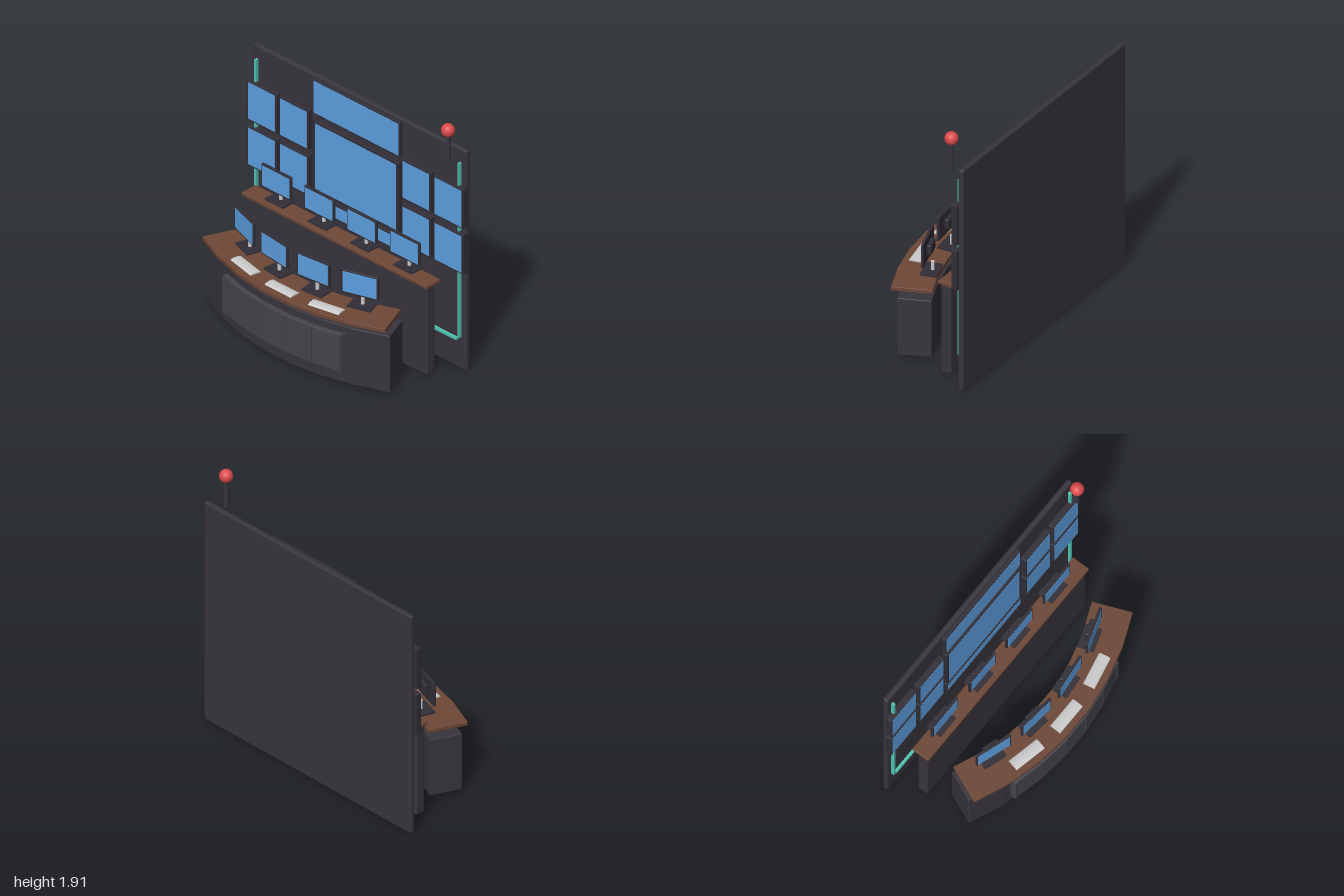
import * as THREE from 'three';
import { RoundedBoxGeometry } from 'three/addons/geometries/RoundedBoxGeometry.js';

const paint = (color) => new THREE.MeshStandardMaterial({ color });
const dark = paint(0x38343d);
const frameMat = paint(0x322e37);
const panelMat = paint(0x46444b);
const wood = paint(0x6d4736);
const blue = paint(0x5c9fe0);
const teal = paint(0x4fc4b0);
const red = paint(0xdc4a4a);
const grey = paint(0xcccccc);

// Common centre of the curved desk
const ARC_Z = -1.46;
const STEP = THREE.MathUtils.degToRad(7.6);

function add(parent, name, geometry, material, x, y, z) {
  const mesh = new THREE.Mesh(geometry, material);
  mesh.name = name;
  mesh.position.set(x, y, z);
  parent.add(mesh);
  return mesh;
}

function box(parent, name, material, w, h, d, x, y, z, radius = 0) {
  const geometry = radius
    ? new RoundedBoxGeometry(w, h, d, 2, radius)
    : new THREE.BoxGeometry(w, h, d);
  return add(parent, name, geometry, material, x, y, z);
}

// Place an object on the desk arc, facing outwards
function onArc(object, angle, radius, y) {
  object.position.set(Math.sin(angle) * radius, y, Math.cos(angle) * radius + ARC_Z);
  object.rotation.y = angle;
  return object;
}

// Frame with a lit face, given by its extents
function wallScreen(parent, name, x0, x1, y0, y1, front, border = 0.013) {
  const screen = new THREE.Group();
  screen.name = name;
  const w = x1 - x0, h = y1 - y0, depth = front + 0.392;
  screen.position.set((x0 + x1) / 2, (y0 + y1) / 2, front);
  box(screen, 'screenFrame', frameMat, w, h, depth, 0, 0, -depth / 2, 0.006);
  box(screen, 'screenFace', blue, w - 2 * border, h - 2 * border, 0.004, 0, 0, 0);
  parent.add(screen);
}

// Desk monitor: origin on the surface, below the screen
function monitor(lift) {
  const group = new THREE.Group();
  group.name = 'monitor';
  const y = lift + 0.089;
  box(group, 'monitorFrame', frameMat, 0.275, 0.178, 0.02, 0, y, 0, 0.006);
  box(group, 'monitorFace', blue, 0.25, 0.153, 0.004, 0, y, 0.01);
  box(group, 'monitorBack', frameMat, 0.12, 0.075, 0.035, 0, y + 0.005, -0.026, 0.01);
  box(group, 'monitorFoot', frameMat, 0.17, 0.01, 0.115, 0, 0.005, -0.027);
  add(group, 'monitorStand', new THREE.CylinderGeometry(0.013, 0.013, 0.07, 16), grey, 0, 0.04, -0.037);
  return group;
}

export function createModel() {
  const model = new THREE.Group();
  model.name = 'controlRoom';

  // Back wall
  box(model, 'backWall', dark, 1.97, 1.69, 0.042, 0, 0.845, -0.41, 0.015);

  // Wall screens
  wallScreen(model, 'topScreen', -0.405, 0.4, 1.405, 1.675, -0.362);
  wallScreen(model, 'mainScreen', -0.395, 0.395, 0.825, 1.365, -0.355, 0.02);
  wallScreen(model, 'lowerScreen', -0.395, 0.395, 0.685, 0.8, -0.355);
  for (const [y0, y1] of [[1.115, 1.42], [0.765, 1.07]]) {
    for (const [inner, outer] of [[0.43, 0.7], [0.725, 0.998]]) {
      wallScreen(model, 'sideScreen', inner, outer, y0, y1, -0.347);
      wallScreen(model, 'sideScreen', -outer, -inner, y0, y1, -0.347);
    }
  }

  // Light strips
  for (const side of [-1, 1]) {
    box(model, 'sideLightStrip', teal, 0.016, 1.34, 0.024, side * 0.938, 0.92, -0.376);
  }
  box(model, 'lowerLightStrip', teal, 1.83, 0.018, 0.02, 0, 0.23, -0.376);

  // Alarm lamp
  add(model, 'lampPole', new THREE.CylinderGeometry(0.016, 0.016, 0.22, 16), dark, 0.912, 1.735, -0.295);
  add(model, 'alarmLamp', new THREE.SphereGeometry(0.047, 32, 20), red, 0.912, 1.865, -0.295);

  // Rear counter
  box(model, 'rearCounterBody', dark, 1.69, 0.675, 0.08, 0, 0.3375, -0.205, 0.015);
  box(model, 'rearCounterTop', wood, 1.71, 0.026, 0.135, 0, 0.688, -0.217, 0.006);
  for (const x of [-0.593, -0.196, 0.196, 0.593]) {
    const rear = monitor(0.072);
    rear.position.set(x, 0.701, -0.22);
    model.add(rear);
  }

  // Curved front desk
  const desk = new THREE.Group();
  desk.name = 'frontDesk';
  model.add(desk);
  for (let i = -3; i <= 3; i++) {
    const top = box(desk, 'deskTop', wood, 0.25, 0.03, 0.28, 0, 0, 0, 0.004);
    onArc(top, i * STEP, 1.88 - 0.14, 0.513);
    const base = box(desk, 'deskBase', dark, 0.28, 0.433, 0.23, 0, 0, 0, 0.006);
    onArc(base, i * STEP, 1.835 - 0.115, 0.237);
  }

  // Raised front panels with end fins
  for (let i = -2; i <= 2; i++) {
    const panel = box(desk, 'frontPanel', panelMat, 0.21, 0.28, 0.05, 0, 0, 0, 0.004);
    onArc(panel, i * 0.115, 1.87 - 0.025, 0.26);
  }
  for (const side of [-1, 1]) {
    box(desk, 'panelEnd', panelMat, 0.025, 0.28, 0.045, side * 0.533, 0.26, 0.318);
  }

  // Front monitors
  for (const degrees of [-18.4, -6.1, 6.1, 18.4]) {
    const front = monitor(0.09);
    model.add(onArc(front, THREE.MathUtils.degToRad(degrees), 1.687, 0.528));
  }

  // Keyboards: shallow arched slabs
  const arch = new THREE.CylinderGeometry(0.0425, 0.0425, 0.24, 24, 1, false, 0, Math.PI);
  arch.rotateZ(Math.PI / 2).scale(1, 0.28, 1);
  for (const degrees of [-12, 0, 12]) {
    const keyboard = add(model, 'keyboard', arch, grey, 0, 0, 0);
    onArc(keyboard, THREE.MathUtils.degToRad(degrees), 1.793, 0.528);
  }

  return model;
}
